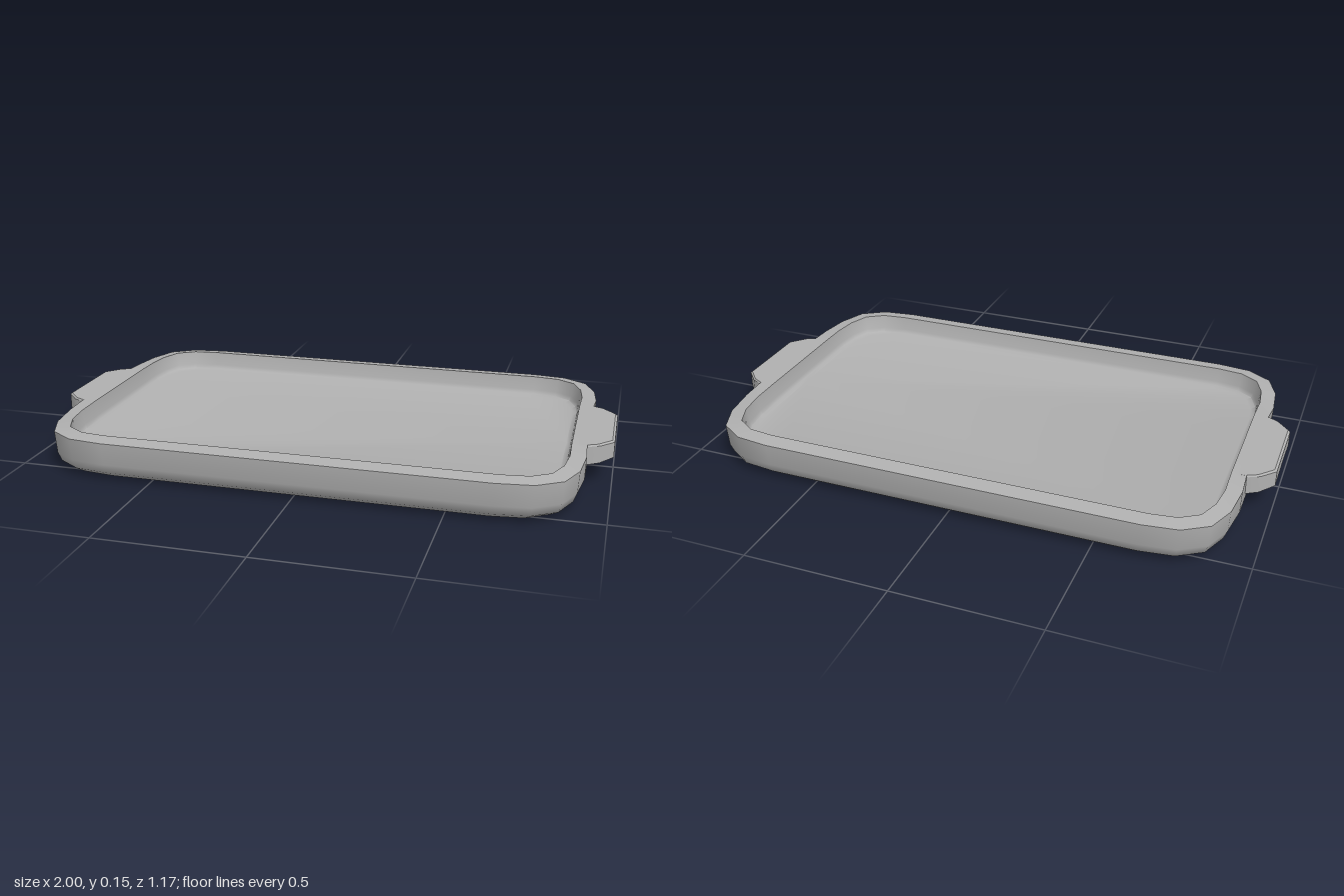
import * as THREE from 'three';
import { mergeVertices, toCreasedNormals } from 'three/addons/utils/BufferGeometryUtils.js';

// Distances of the rounded corner's points from the square corner.
const CORNER = [[0, 0.29], [0.015, 0.17], [0.055, 0.07], [0.14, 0.015], [0.26, 0]];

// Closed loop of [x, z], running from +x towards +z.
function outline(hx, hz, scale) {
  const quarter = [[hx, 0], [hx, 0.11], [hx, 0.21]];
  for (const [dx, dz] of CORNER) quarter.push([hx - dx * scale, hz - dz * scale]);
  const mirrorX = quarter.slice().reverse().map(([x, z]) => [-x, z]);
  const half = [...quarter, ...mirrorX];
  const other = half.slice(1, -1).reverse().map(([x, z]) => [x, -z]);
  return [...half, ...other];
}

// Skin between loops of equal length; caps close the ends with a fan.
function loft(loops, capStart, capEnd) {
  const n = loops[0].length;
  const pos = loops.flat(2);
  const index = [];
  for (let r = 0; r < loops.length - 1; r++) {
    for (let i = 0; i < n; i++) {
      const j = (i + 1) % n;
      const a = r * n + i, b = r * n + j, c = a + n, d = b + n;
      index.push(a, c, b, b, c, d);
    }
  }
  const cap = (r, flip) => {
    for (let i = 1; i < n - 1; i++) {
      const o = r * n;
      if (flip) index.push(o, o + i + 1, o + i);
      else index.push(o, o + i, o + i + 1);
    }
  };
  if (capStart) cap(0, false);
  if (capEnd) cap(loops.length - 1, true);
  const g = new THREE.BufferGeometry();
  g.setAttribute('position', new THREE.Float32BufferAttribute(pos, 3));
  g.setIndex(index);
  return g;
}

// Upper edges rise to meet the handles on the short sides.
function ring(hx, hz, scale, y, lift = 0) {
  return outline(hx, hz, scale).map(([x, z]) => {
    const nearHandle = Math.abs(x) > 0.8 ? 1 - THREE.MathUtils.smoothstep(Math.abs(z), 0.2, 0.36) : 0;
    return [x - Math.sign(x) * nearHandle * lift * 0.6, y + lift * nearHandle, z];
  });
}

export function createModel() {
  const tray = new THREE.Group();
  tray.name = 'tray';
  const grey = new THREE.MeshStandardMaterial({ color: 0xb0b0b0 });
  grey.name = 'grey';

  const add = (name, geometry, crease) => {
    const mesh = new THREE.Mesh(toCreasedNormals(mergeVertices(geometry), crease), grey);
    mesh.name = name;
    tray.add(mesh);
    return mesh;
  };

  const rimOuter = ring(0.92, 0.587, 1, 0.137, 0.012);
  const rimInner = ring(0.865, 0.53, 0.75, 0.145, 0.004);

  // Outer wall with rounded foot and flat underside
  add('outerShell', loft([
    ring(0.83, 0.51, 0.8, 0),
    ring(0.875, 0.55, 0.9, 0.01),
    ring(0.903, 0.573, 0.96, 0.028),
    ring(0.915, 0.584, 1, 0.06),
    rimOuter,
  ], true, false), 0.9);

  // Top of the rim
  add('rim', loft([rimOuter, rimInner], false, false), 0.6);

  // Inner wall and floor
  add('basin', loft([
    rimInner,
    ring(0.856, 0.521, 0.72, 0.095),
    ring(0.85, 0.514, 0.7, 0.08),
    ring(0.835, 0.5, 0.7, 0.075),
  ], false, true), 0.9);

  // Handles: [z, outer x, underside y], lofted along z
  const stations = [[0.21, 0.915, 0.08], [0.19, 0.955, 0.083], [0.14, 1, 0.089], [0.06, 1, 0.094]];
  const all = [...stations, ...stations.slice().reverse().map(([z, x, y]) => [-z, x, y])];
  const handleLoops = all.map(([z, x, y]) => [
    [0.885, 0.08, z], [x, y, z], [x, 0.143, z], [x - 0.008, 0.149, z], [0.885, 0.149, z],
  ]);
  for (const side of [1, -1]) {
    const g = loft(handleLoops, true, true);
    const handle = add(side > 0 ? 'leftHandle' : 'rightHandle', g, 0.4);
    if (side < 0) handle.rotation.y = Math.PI;
  }
  return tray;
}
